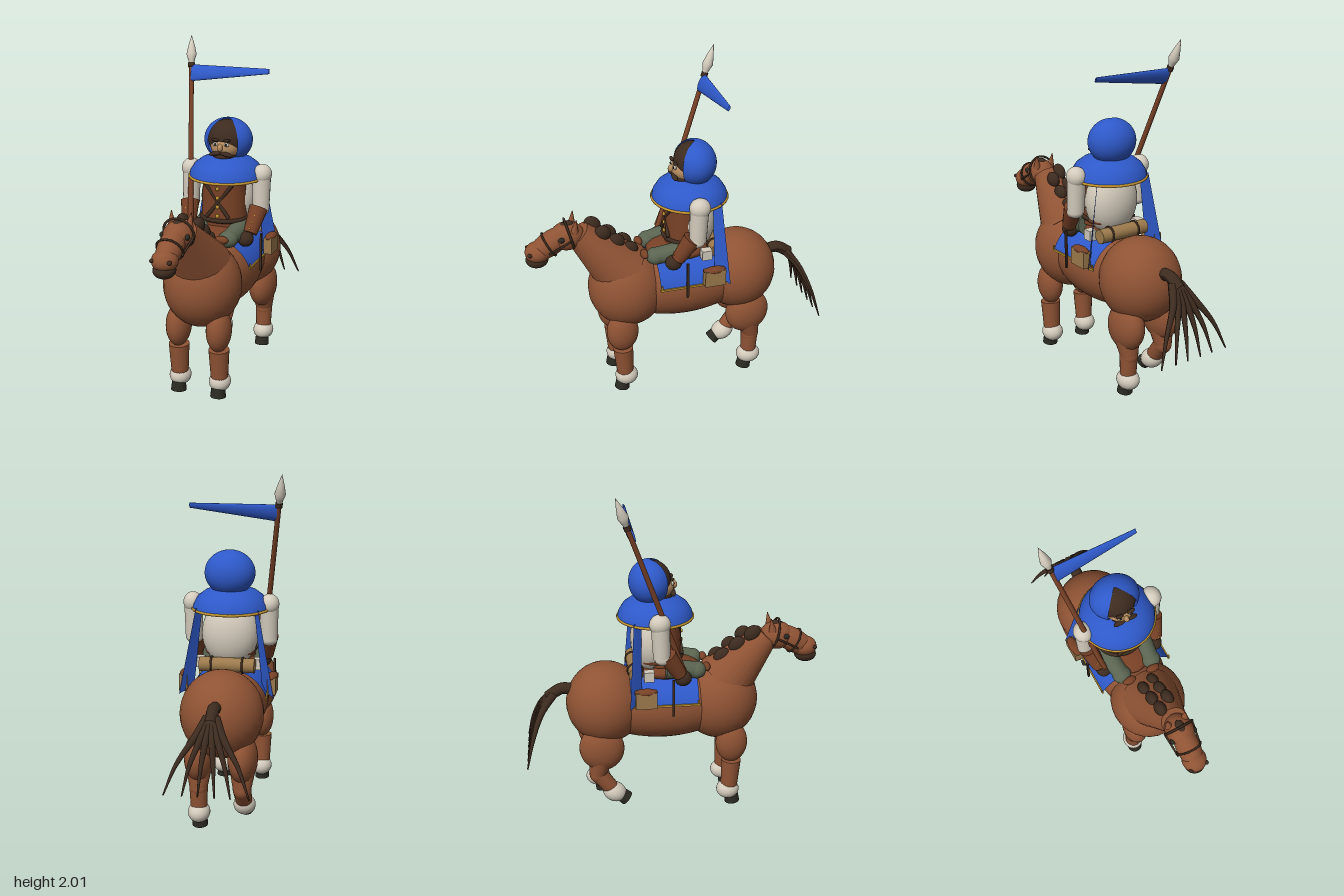
import * as THREE from 'three';

const mat = (name, color, side = THREE.FrontSide) => {
  const m = new THREE.MeshStandardMaterial({ color, side });
  m.name = name;
  return m;
};

export function createModel() {
  const coat = mat('chestnut', 0x8f5334);
  const dark = mat('darkBrown', 0x3d2b1f);
  const leather = mat('leather', 0x784126);
  const white = mat('offWhite', 0xd3cbbc);
  const blue = mat('blueCloth', 0x2e59c9, THREE.DoubleSide);
  const tan = mat('tan', 0x9c7a4c);
  const skin = mat('skin', 0xb98f62);
  const gold = mat('gold', 0xc0922f);
  const olive = mat('olive', 0x5a6450);
  const black = mat('hoofBlack', 0x2b2a22);

  const model = new THREE.Group();
  model.name = 'mountedLancer';
  const body = new THREE.Group(); // symmetric about its own x = 0
  body.name = 'horseAndRider';
  body.position.x = 0.02;
  model.add(body);

  const V = (p) => new THREE.Vector3(...p);
  const UP = new THREE.Vector3(0, 1, 0);
  const add = (name, geo, material) => {
    const m = new THREE.Mesh(geo, material);
    m.name = name;
    body.add(m);
    return m;
  };
  const ball = (name, material, c, r, rx = 0, rz = 0) => {
    const m = add(name, new THREE.SphereGeometry(1, 28, 20), material);
    m.position.set(...c);
    m.scale.set(...r);
    m.rotation.set(rx, 0, rz);
    return m;
  };
  const rod = (name, material, a, b, ra, rb = ra, seg = 20) => {
    const d = V(b).sub(V(a));
    const m = add(name, new THREE.CylinderGeometry(rb, ra, d.length(), seg), material);
    m.position.copy(V(a)).addScaledVector(d, 0.5);
    m.quaternion.setFromUnitVectors(UP, d.normalize());
    return m;
  };
  const box = (name, material, c, s) => {
    const m = add(name, new THREE.BoxGeometry(...s), material);
    m.position.set(...c);
    return m;
  };
  const ring = (name, material, c, r, tube, rx = Math.PI / 2) => {
    const m = add(name, new THREE.TorusGeometry(r, tube, 8, 40), material);
    m.position.set(...c);
    m.rotation.x = rx;
    return m;
  };
  // Tube narrowing from r0 to r1 along a smooth path
  const taper = (name, material, pts, r0, r1) => {
    const curve = new THREE.CatmullRomCurve3(pts.map(V));
    const n = 16, seg = 10;
    const geo = new THREE.TubeGeometry(curve, n, r0, seg);
    const p = geo.attributes.position, v = new THREE.Vector3();
    for (let i = 0; i < p.count; i++) {
      const t = Math.floor(i / (seg + 1)) / n, c = curve.getPointAt(t);
      v.fromBufferAttribute(p, i).sub(c).multiplyScalar(1 + (r1 / r0 - 1) * t).add(c);
      p.setXYZ(i, v.x, v.y, v.z);
    }
    geo.computeVertexNormals();
    return add(name, geo, material);
  };
  const both = (fn) => [-1, 1].forEach(fn);

  // Horse trunk, neck and head
  ball('chest', coat, [0, 0.66, 0.29], [0.228, 0.25, 0.237]);
  ball('barrel', coat, [0, 0.66, -0.05], [0.215, 0.225, 0.45]);
  ball('rump', coat, [0, 0.67, -0.4], [0.238, 0.25, 0.238]);
  rod('neck', coat, [0, 0.78, 0.32], [0, 1.06, 0.575], 0.18, 0.078, 24);
  ball('skull', coat, [0, 1.055, 0.635], [0.083, 0.085, 0.1]);
  ball('face', coat, [0, 1.02, 0.735], [0.07, 0.072, 0.15], 0.55);
  ball('snout', coat, [0, 0.975, 0.81], [0.072, 0.062, 0.075]);
  ball('muzzle', dark, [0, 0.925, 0.818], [0.062, 0.045, 0.066]);
  ball('forelock', dark, [0, 1.12, 0.645], [0.03, 0.025, 0.05], 0.4);
  ring('browBand', dark, [0, 1.07, 0.625], 0.088, 0.007, 0.25);
  ring('noseBand', dark, [0, 1.015, 0.745], 0.075, 0.006, 0.5);
  both((s) => {
    rod('ear', coat, [s * 0.05, 1.1, 0.6], [s * 0.058, 1.18, 0.588], 0.024, 0.002, 12);
    ball('horseEye', black, [s * 0.073, 1.07, 0.68], [0.013, 0.016, 0.018]);
    ball('nostril', dark, [s * 0.05, 0.985, 0.862], [0.014, 0.012, 0.014]);
    rod('cheekStrap', dark, [s * 0.088, 1.06, 0.63], [s * 0.073, 0.99, 0.755], 0.006);
  });
  // Mane tufts in two staggered rows
  for (let i = 0; i < 3; i++) {
    ball('maneTuft', dark, [-0.038, 0.95 + i * 0.068, 0.3 + i * 0.09], [0.034, 0.045, 0.055], -0.8);
    ball('maneTuft', dark, [0.036, 0.93 + i * 0.065, 0.275 + i * 0.08], [0.034, 0.045, 0.05], -0.8);
  }
  // Tail
  taper('tailRoot', dark, [[0, 0.76, -0.58], [0, 0.77, -0.66], [0, 0.72, -0.745]], 0.036, 0.034);
  [-0.23, -0.13, -0.045, 0.045, 0.13, 0.23].forEach((x) =>
    taper('tailStrand', dark, [[x * 0.1, 0.745, -0.71], [x * 0.35, 0.65, -0.785],
      [x * 0.72, 0.52, -0.84], [x, 0.36, -0.88]], 0.026, 0.004));

  // Legs
  both((s) => {
    const x = s * 0.125;
    ball('frontUpperLeg', coat, [x, 0.415, 0.355], [0.072, 0.13, 0.097]);
    rod('frontLowerLeg', coat, [x, 0.1, 0.345], [x, 0.295, 0.355], 0.05, 0.061);
    ball('frontFetlock', white, [x, 0.087, 0.338], [0.064, 0.06, 0.07]);
    rod('frontHoof', black, [x, 0, 0.368], [x, 0.07, 0.36], 0.046, 0.04);
    ball('thigh', coat, [x, 0.42, -0.435], [0.085, 0.145, 0.135], -0.25);
    rod('hock', coat, [x, 0.36, -0.44], [x, 0.245, -0.465], 0.075, 0.052);
    ball('hockJoint', coat, [x, 0.245, -0.46], [0.053, 0.06, 0.055]);
    const raised = s < 0;
    const foot = raised ? [x, 0.115, -0.365] : [x, 0.09, -0.455];
    rod('rearLowerLeg', coat, [x, 0.245, -0.46], foot, 0.053, 0.046);
    ball('rearFetlock', white, foot, [0.064, 0.06, 0.075], raised ? 0.5 : 0);
    if (raised) rod('rearHoof', black, [x, 0.06, -0.29], [x, 0.11, -0.345], 0.045, 0.04);
    else rod('rearHoof', black, [x, 0, -0.425], [x, 0.07, -0.435], 0.046, 0.04);
  });

  // Saddle cloth with gold hem, saddle and luggage
  const a0 = 0.3;
  const cloth = add('saddleCloth', new THREE.CylinderGeometry(1, 1, 0.4, 36, 1, true,
    Math.PI / 2 + a0, Math.PI - 2 * a0), blue);
  cloth.rotation.x = Math.PI / 2;
  cloth.scale.set(0.242, 1, 0.228);
  cloth.position.set(0, 0.662, -0.06);
  both((s) => {
    box('clothHem', gold, [s * 0.232, 0.73, -0.06], [0.01, 0.012, 0.41]);
    box('saddlebag', tan, [s * 0.257, 0.79, -0.175], [0.05, 0.1, 0.125]);
    ball('bagFlap', leather, [s * 0.257, 0.837, -0.175], [0.03, 0.02, 0.068]);
    box('girthStrap', dark, [s * 0.248, 0.785, -0.015], [0.012, 0.23, 0.014]);
    box('pouch', white, [s * 0.17, 0.9, -0.15], [0.05, 0.06, 0.06]);
    ball('saddleRoll', leather, [s * 0.08, 0.905, 0.2], [0.042, 0.024, 0.024]);
    for (const z of [-0.255, 0.135]) box('clothEdge', gold, [s * 0.235, 0.745, z], [0.008, 0.03, 0.008]);
    ring('rollStrap', dark, [s * 0.09, 0.905, -0.225], 0.044, 0.006, 0).rotation.y = Math.PI / 2;
  });
  ball('saddleSeat', leather, [0, 0.885, -0.03], [0.15, 0.06, 0.2]);
  const cantle = ring('cantle', leather, [0, 0.965, -0.11], 0.13, 0.017);
  cantle.scale.y = 0.75;
  rod('bedroll', tan, [-0.16, 0.905, -0.225], [0.16, 0.905, -0.225], 0.042);

  // Rider torso
  ball('shirt', white, [0, 1.07, -0.12], [0.165, 0.2, 0.125]);
  const vest = add('vest', new THREE.CylinderGeometry(0.13, 0.14, 0.3, 28), leather);
  vest.position.set(0, 1.08, -0.06);
  vest.scale.z = 0.85;
  ring('belt', dark, [0, 0.97, -0.06], 0.138, 0.014).scale.y = 0.88;
  both((s) => rod('crossStrap', dark, [s * 0.1, 1.21, 0.035], [-s * 0.07, 0.99, 0.055], 0.011));
  for (let i = 0; i < 4; i++) ball('vestButton', gold, [0, 1.0 + i * 0.055, 0.06], [0.012, 0.012, 0.008]);

  // Arms and legs
  both((s) => {
    ball('shoulder', white, [s * 0.225, 1.24, -0.09], [0.056, 0.06, 0.062]);
    rod('sleeve', white, [s * 0.222, 1.03, -0.08], [s * 0.222, 1.24, -0.088], 0.05, 0.055);
    ball('elbow', white, [s * 0.222, 1.03, -0.075], [0.05, 0.04, 0.05]);
    rod('gauntlet', leather, [s * 0.195, 0.91, 0.03], [s * 0.218, 1.045, -0.05], 0.04, 0.056);
    ball('glove', dark, [s * 0.175, 0.878, 0.05], [0.046, 0.046, 0.05]);
    for (let i = 0; i < 3; i++)
      ball('cuffButton', gold, [s * (0.2 + i * 0.009), 0.945 + i * 0.035, 0.053 - i * 0.018], [0.007, 0.007, 0.007]);
    rod('trouserLeg', olive, [s * 0.12, 0.92, -0.05], [s * 0.1, 0.895, 0.14], 0.06, 0.05);
    ball('knee', olive, [s * 0.1, 0.895, 0.14], [0.058, 0.05, 0.055]);
  });

  // Capelet with gold hem and two hanging cape panels
  const profile = [[0.222, 1.212], [0.215, 1.245], [0.19, 1.285], [0.15, 1.315], [0.1, 1.335], [0.06, 1.345]];
  const capelet = add('capelet', new THREE.LatheGeometry(profile.map((p) => new THREE.Vector2(...p)), 40), blue);
  capelet.position.z = -0.095;
  ring('capeletHem', gold, [0, 1.212, -0.095], 0.221, 0.008);
  both((s) => {
    const g = new THREE.BufferGeometry();
    g.setAttribute('position', new THREE.Float32BufferAttribute([
      s * 0.15, 1.23, -0.19, s * 0.18, 1.23, -0.235,
      s * 0.2, 0.77, -0.195, s * 0.275, 0.73, -0.27], 3));
    g.setIndex(s > 0 ? [0, 2, 3, 0, 3, 1] : [0, 3, 2, 0, 1, 3]);
    g.computeVertexNormals();
    add('capePanel', g, blue);
  });

  // Head inside a hood that opens at the front
  const gap = 0.68;
  const hood = add('hood', new THREE.SphereGeometry(1, 40, 24,
    Math.PI / 2 + gap, 2 * Math.PI - 2 * gap), blue);
  hood.scale.set(0.146, 0.132, 0.125);
  hood.position.set(0, 1.424, -0.125);
  ball('hair', dark, [0, 1.435, -0.11], [0.118, 0.112, 0.108]);
  ball('head', skin, [0, 1.392, -0.085], [0.09, 0.075, 0.1]);
  ball('beard', dark, [0, 1.342, -0.065], [0.07, 0.035, 0.075]);
  ball('nose', skin, [0, 1.4, 0.015], [0.015, 0.024, 0.02]);
  both((s) => {
    ball('moustache', dark, [s * 0.033, 1.363, 0.006], [0.042, 0.013, 0.016], 0, s * -0.2);
    ball('eyeWhite', white, [s * 0.036, 1.418, 0.003], [0.015, 0.012, 0.008]);
    ball('pupil', black, [s * 0.034, 1.418, 0.01], [0.007, 0.008, 0.004]);
    ball('eyebrow', dark, [s * 0.036, 1.443, 0.002], [0.024, 0.008, 0.012], 0, s * 0.15);
  });

  // Lance leaning back and outwards, with its tip and streamer
  const on = (y) => [-0.296 - (y - 1.83) * 0.136, y, -0.272 - (y - 1.83) * 0.36];
  rod('lanceShaft', leather, on(0.86), on(1.85), 0.016, 0.014, 16);
  rod('lanceCollar', dark, on(1.815), on(1.84), 0.02);
  const tip = add('lanceTip', new THREE.LatheGeometry([[0.013, 0], [0.022, 0.03], [0.031, 0.06],
    [0.02, 0.11], [0.0, 0.178]].map((p) => new THREE.Vector2(...p)), 20), white);
  tip.position.set(...on(1.833));
  tip.quaternion.setFromUnitVectors(UP, V([-0.136, 1, -0.36]).normalize());
  const flagGeo = new THREE.CylinderGeometry(0.3, 1, 1, 24, 1, true);
  flagGeo.rotateZ(-Math.PI / 2);
  flagGeo.scale(0.49, 0.052, 0.02);
  flagGeo.rotateX(-0.42);
  flagGeo.rotateZ(0.07);
  const flag = add('streamer', flagGeo, blue);
  flag.position.set(-0.04, 1.8, -0.252);

  return model;
}
